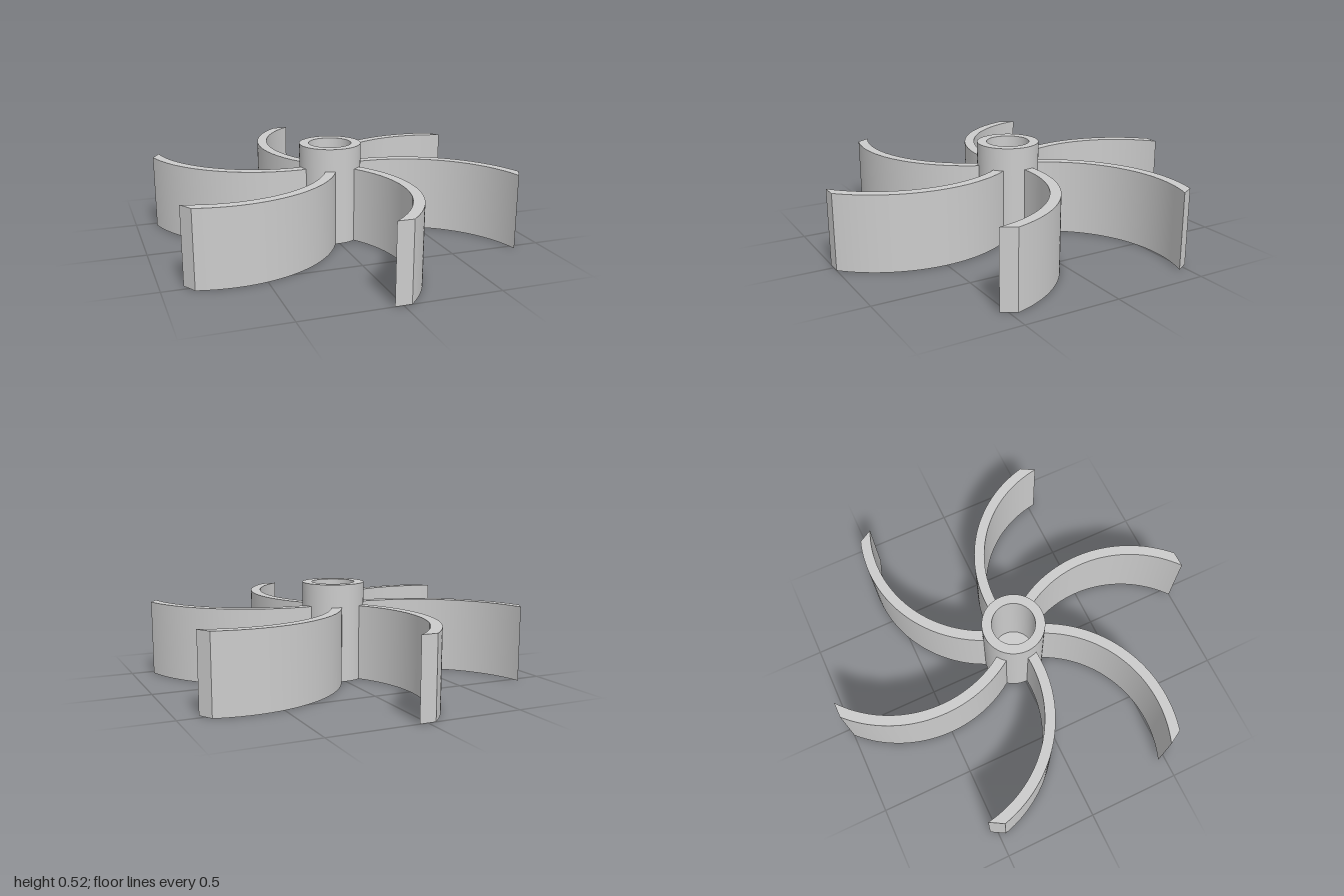
import * as THREE from 'three';
import { toCreasedNormals } from 'three/addons/utils/BufferGeometryUtils.js';

const BLADES = 6;
const BLADE_HEIGHT = 0.4;
const HUB = { radius: 0.165, bore: 0.114, height: 0.52, floor: 0.1 };
// Both faces of a blade are arcs about one centre, seen from above (x, z)
const ARC = { x: -0.437, z: 0.5, outer: 0.692, inner: 0.637 };

const material = new THREE.MeshStandardMaterial({ color: 0xcccccc });

function makeMesh(name, geometry) {
  const mesh = new THREE.Mesh(toCreasedNormals(geometry, 0.5), material);
  mesh.name = name;
  return mesh;
}

// Curved vane, rooted in the hub wall and cut square at z = 1
function bladeGeometry() {
  const angleAt = (z, r) => Math.asin((z - ARC.z) / r);
  const shape = new THREE.Shape();
  shape.absarc(ARC.x, ARC.z, ARC.outer, angleAt(0.09, ARC.outer), angleAt(1, ARC.outer), false);
  shape.absarc(ARC.x, ARC.z, ARC.inner, angleAt(1, ARC.inner), angleAt(0.11, ARC.inner), true);
  const geometry = new THREE.ExtrudeGeometry(shape, {
    depth: BLADE_HEIGHT, bevelEnabled: false, curveSegments: 32,
  });
  geometry.rotateX(Math.PI / 2);
  geometry.translate(0, BLADE_HEIGHT, 0);
  return geometry;
}

// Cylinder with a blind bore from the top
function hubGeometry() {
  const profile = [
    [0, 0], [HUB.radius, 0], [HUB.radius, HUB.height],
    [HUB.bore, HUB.height], [HUB.bore, HUB.floor], [0, HUB.floor],
  ].map(([r, y]) => new THREE.Vector2(r, y));
  return new THREE.LatheGeometry(profile, 64);
}

export function createModel() {
  const model = new THREE.Group();
  model.name = 'impeller';
  model.add(makeMesh('hub', hubGeometry()));

  // Ring of identical blades
  const geometry = bladeGeometry();
  for (let i = 0; i < BLADES; i++) {
    const blade = makeMesh(`blade${i + 1}`, geometry);
    blade.rotation.y = (i / BLADES) * Math.PI * 2;
    model.add(blade);
  }
  return model;
}
